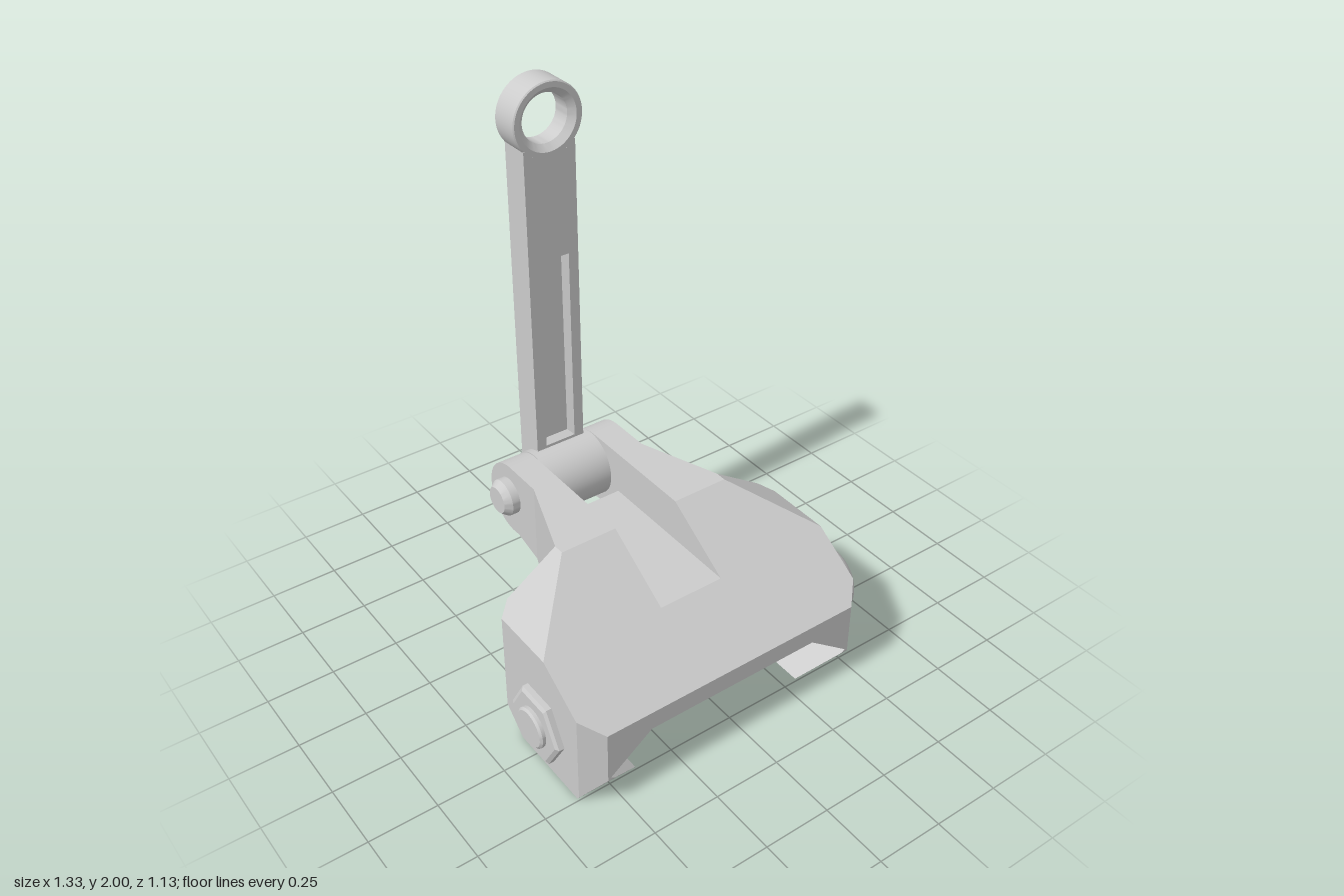
import * as THREE from 'three';
import { ConvexGeometry } from 'three/addons/geometries/ConvexGeometry.js';
import { toCreasedNormals } from 'three/addons/utils/BufferGeometryUtils.js';

const grey = new THREE.MeshStandardMaterial({ color: 0xcccccc });
const greyDouble = new THREE.MeshStandardMaterial({ color: 0xcccccc, side: THREE.DoubleSide });

function add(parent, name, geometry, x = 0, y = 0, z = 0, material = grey) {
  const mesh = new THREE.Mesh(geometry, material);
  mesh.name = name;
  mesh.position.set(x, y, z);
  parent.add(mesh);
  return mesh;
}

// Half-spaces of a convex outline; axes tells which coordinates the outline uses
function outlinePlanes(points, axes) {
  const cu = points.reduce((s, p) => s + p[0], 0) / points.length;
  const cv = points.reduce((s, p) => s + p[1], 0) / points.length;
  return points.map((a, i) => {
    const b = points[(i + 1) % points.length];
    let nu = b[1] - a[1], nv = a[0] - b[0];
    const k = (nu * (cu - a[0]) + nv * (cv - a[1]) > 0 ? -1 : 1) / Math.hypot(nu, nv);
    nu *= k; nv *= k;
    const normal = new THREE.Vector3();
    normal[axes[0]] = nu;
    normal[axes[1]] = nv;
    return { normal, d: nu * a[0] + nv * a[1] };
  });
}

// Convex solid cut out by its front (x,y), side (z,y) and top (x,z) outlines
function solid({ front = [], side = [], top = [] }) {
  const planes = [...outlinePlanes(front, 'xy'), ...outlinePlanes(side, 'zy'), ...outlinePlanes(top, 'xz')];
  const corners = [];
  for (let i = 0; i < planes.length; i++)
    for (let j = i + 1; j < planes.length; j++)
      for (let k = j + 1; k < planes.length; k++) {
        const [a, b, c] = [planes[i], planes[j], planes[k]];
        const bc = b.normal.clone().cross(c.normal);
        const det = a.normal.dot(bc);
        if (Math.abs(det) < 1e-6) continue;
        const p = bc.multiplyScalar(a.d)
          .addScaledVector(c.normal.clone().cross(a.normal), b.d)
          .addScaledVector(a.normal.clone().cross(b.normal), c.d)
          .divideScalar(det);
        if (planes.every(q => q.normal.dot(p) < q.d + 1e-5) && corners.every(q => q.distanceTo(p) > 1e-4)) corners.push(p);
      }
  return new ConvexGeometry(corners);
}

const rect = (u0, u1, v0, v1) => [[u0, v0], [u1, v0], [u1, v1], [u0, v1]];
const flip = (points, s) => points.map(([x, v]) => [x * s, v]);
const lathe = (points, segments = 48) =>
  toCreasedNormals(new THREE.LatheGeometry(points.map(p => new THREE.Vector2(...p)), segments), 0.5);

function createBase() {
  const base = new THREE.Group();
  base.name = 'base';
  const side = [[0.49, 0], [0.16, 0], [0.03, 0.12], [0.03, 0.63], [0.07, 0.63], [0.57, 0.31], [0.57, 0.11]];
  const halfTop = [[0.53, 0.03], [0.578, 0.07], [0.578, 0.5], [0.51, 0.57]];
  const top = [...halfTop, ...flip(halfTop, -1).reverse()];
  const neckSide = [[0.03, 0.245], [0.03, 0.63], [-0.27, 0.63], [-0.27, 0.32]];
  const floor = rect(-0.125, 0.125, 0.24, 0.465);

  // Floor of the slot that takes the folded arm
  add(base, 'clampMiddle', solid({ front: floor, side, top }));
  add(base, 'neckFloor', solid({ front: floor, side: neckSide }));

  // Hinge ear outline in the (z,y) plane, drawn with u = -z
  const ear = new THREE.Shape();
  ear.moveTo(0.27, 0.32);
  ear.lineTo(0.391, 0.354);
  ear.absarc(0.425, 0.49, 0.14, -1.816, Math.PI / 2, false);
  ear.lineTo(0.27, 0.63);
  const earGeometry = toCreasedNormals(
    new THREE.ExtrudeGeometry(ear, { depth: 0.105, bevelEnabled: false, curveSegments: 32 }), 0.5);

  for (const s of [1, -1]) {
    const word = s > 0 ? 'left' : 'right';
    add(base, word + 'Shoulder', solid({ front: flip(rect(0.125, 0.338, 0.24, 0.63), s), side, top }));
    const cheek = [[0.338, 0.24], [0.498, 0.12], [0.578, 0.12], [0.578, 0.47], [0.338, 0.63]];
    add(base, word + 'Cheek', solid({ front: flip(cheek, s), side, top }));
    const foot = [[0.498, 0.12], [0.348, 0], [0.578, 0], [0.578, 0.12]];
    add(base, word + 'RailJaw', solid({ front: flip(foot, s), side, top }));
    const neck = [[0.125, 0.03], [0.338, 0.03], [0.23, -0.27], [0.125, -0.27]];
    add(base, word + 'Neck', solid({ side: neckSide, top: flip(neck, s) }));
    add(base, word + 'HingeEar', earGeometry, s > 0 ? 0.125 : -0.23).rotation.y = Math.PI / 2;
  }
  return base;
}

function createArm() {
  const arm = new THREE.Group();
  arm.name = 'arm';
  const back = -0.56, face = -0.45, bed = -0.475;
  // Plate with a bevelled groove in its front face
  add(arm, 'armPlate', solid({ front: rect(-0.098, 0.098, 0.5, 1.76), side: rect(back, bed, 0.5, 1.76) }));
  for (const s of [1, -1]) {
    const rail = [[0.098, back], [0.098, face], [0.06, face], [0.045, bed], [0.045, back]];
    add(arm, 'armRail', solid({ top: flip(rail, s), side: rect(back, face, 0.5, 1.74) }));
    add(arm, 'armTopCorner', solid({ front: flip(rect(0.066, 0.098, 1.73, 1.785), s), side: rect(back, face, 1.73, 1.785) }));
  }
  const grooveTop = [[face, 1.38], [bed, 1.365], [bed, 1.76], [face, 1.76]];
  const grooveBottom = [[face, 0.64], [bed, 0.655], [bed, 0.5], [face, 0.5]];
  for (const side of [grooveTop, grooveBottom])
    add(arm, 'grooveEnd', solid({ front: rect(-0.098, 0.098, 0.5, 1.76), side }));

  // Eye with chamfered bore
  const eye = lathe([[0.085, -0.033], [0.107, -0.055], [0.126, -0.055], [0.13, -0.051],
    [0.13, 0.051], [0.126, 0.055], [0.107, 0.055], [0.085, 0.033], [0.085, -0.033]], 64);
  add(arm, 'eyeRing', eye, 0, 1.87, -0.505).rotation.x = Math.PI / 2;

  // Hinge barrel and pin
  const barrel = lathe([[0, -0.122], [0.125, -0.122], [0.125, 0.122], [0, 0.122]]);
  add(arm, 'hingeBarrel', barrel, 0, 0.505, -0.435).rotation.z = Math.PI / 2;
  const pin = lathe([[0, -0.285], [0.05, -0.285], [0.069, -0.26], [0.069, 0.26], [0.05, 0.285], [0, 0.285]]);
  add(arm, 'hingePin', pin, 0, 0.505, -0.435).rotation.z = Math.PI / 2;
  return arm;
}

function createScrew() {
  const screw = new THREE.Group();
  screw.name = 'clampScrew';
  // Washer and domed head, axis along y until turned
  add(screw, 'washer', lathe([[0, 0], [0.162, 0], [0.162, 0.02], [0.155, 0.028], [0, 0.028]]));
  const dome = [[0.145, 0.028], [0.145, 0.055]];
  for (let i = 1; i <= 8; i++) {
    const a = (i / 8) * 0.95;
    dome.push([0.085 + 0.06 * (Math.cos(a) - Math.cos(0.95)) / (1 - Math.cos(0.95)), 0.055 + 0.074 * Math.sin(a) / Math.sin(0.95)]);
  }
  add(screw, 'domedHead', lathe(dome));
  // Hexagonal socket
  const rim = new THREE.Shape().absarc(0, 0, 0.085, 0, Math.PI * 2);
  const hex = [];
  for (let i = 0; i < 6; i++) hex.push(new THREE.Vector2(0.079 * Math.sin(i * Math.PI / 3), 0.079 * Math.cos(i * Math.PI / 3)));
  rim.holes.push(new THREE.Path(hex));
  add(screw, 'socketRim', new THREE.ShapeGeometry(rim, 24), 0, 0.129, 0).rotation.x = -Math.PI / 2;
  const wall = toCreasedNormals(new THREE.CylinderGeometry(0.079, 0.079, 0.06, 6, 1, true), 0.5);
  add(screw, 'socketWall', wall, 0, 0.099, 0, greyDouble);
  add(screw, 'socketFloor', new THREE.CircleGeometry(0.085, 24), 0, 0.069, 0).rotation.x = -Math.PI / 2;
  screw.rotation.z = -Math.PI / 2;
  screw.position.set(0.578, 0.175, 0.29);
  return screw;
}

function createNut() {
  const nut = new THREE.Group();
  nut.name = 'clampNut';
  const hex = (r0, r1, h) => toCreasedNormals(new THREE.CylinderGeometry(r1, r0, h, 6), 0.2);
  add(nut, 'nutBody', hex(0.14, 0.14, 0.02), 0, 0.01, 0);
  add(nut, 'nutChamfer', hex(0.14, 0.125, 0.008), 0, 0.024, 0);
  add(nut, 'screwEnd', lathe([[0.074, 0], [0.074, 0.04], [0.066, 0.047], [0, 0.047]]));
  nut.rotation.z = Math.PI / 2;
  nut.position.set(-0.578, 0.175, 0.285);
  return nut;
}

export function createModel() {
  const model = new THREE.Group();
  model.name = 'foldingSight';
  const assembly = new THREE.Group();
  assembly.name = 'assembly';
  assembly.add(createBase(), createArm(), createScrew(), createNut());
  assembly.position.x = -0.043;
  model.add(assembly);
  return model;
}
